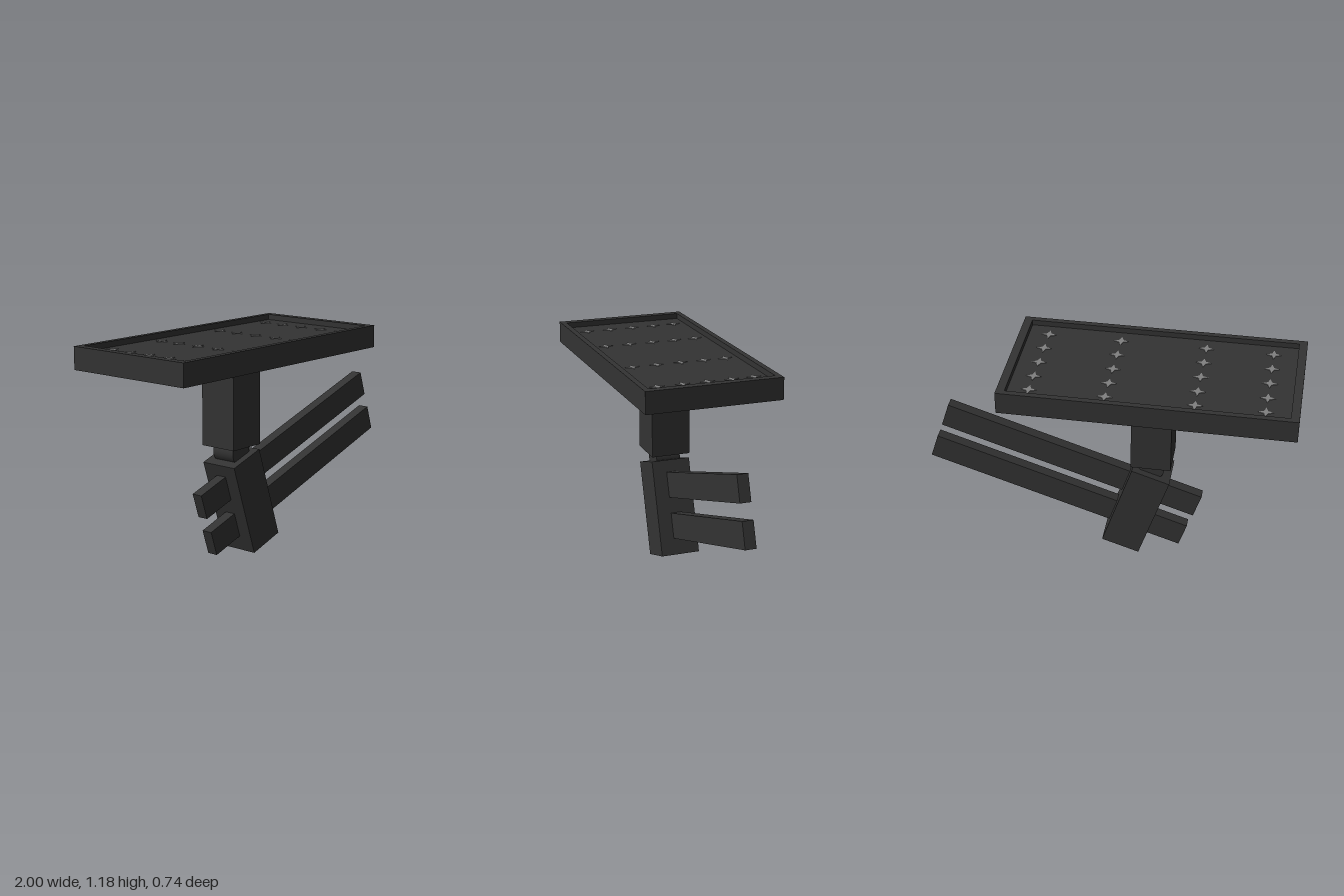
import * as THREE from 'three';

export function createModel() {
  const model = new THREE.Group();
  const charcoal = new THREE.MeshStandardMaterial({ color: 0x333333 });
  charcoal.name = 'charcoal';
  const grey = new THREE.MeshStandardMaterial({ color: 0x808080 });
  grey.name = 'lampGrey';

  const add = (parent, name, geometry, material, x, y, z) => {
    const mesh = new THREE.Mesh(geometry, material);
    mesh.name = name;
    mesh.position.set(x, y, z);
    parent.add(mesh);
    return mesh;
  };
  const box = (parent, name, w, h, d, x, y, z) =>
    add(parent, name, new THREE.BoxGeometry(w, h, d), charcoal, x, y, z);

  // Shallow tray: floor slab and a raised rim
  const head = new THREE.Group();
  head.name = 'lampHead';
  head.position.x = -0.237;
  model.add(head);
  const rect = (Type, w, d) => new Type([
    new THREE.Vector2(-w / 2, -d / 2), new THREE.Vector2(w / 2, -d / 2),
    new THREE.Vector2(w / 2, d / 2), new THREE.Vector2(-w / 2, d / 2)]);
  const rim = rect(THREE.Shape, 1.526, 0.742);
  rim.holes.push(rect(THREE.Path, 1.438, 0.68));
  const rimGeometry = new THREE.ExtrudeGeometry(rim, { depth: 0.12, bevelEnabled: false });
  rimGeometry.rotateX(-Math.PI / 2);
  add(head, 'trayRim', rimGeometry, charcoal, 0, 1.06, 0);
  box(head, 'trayFloor', 1.438, 0.09, 0.68, 0, 1.105, 0);

  // Rows of small four-pointed lamps on the floor
  const star = new THREE.Shape();
  for (let i = 0; i < 8; i++) {
    const r = i % 2 ? 0.015 : 0.04, a = i * Math.PI / 4;
    star[i ? 'lineTo' : 'moveTo'](r * Math.cos(a), r * Math.sin(a));
  }
  const starGeometry = new THREE.ExtrudeGeometry(star, { depth: 0.003, bevelEnabled: false });
  starGeometry.rotateX(-Math.PI / 2);
  for (const x of [-0.83, -0.475, -0.018, 0.373])
    for (const z of [-0.27, -0.147, -0.015, 0.12, 0.255])
      add(head, 'lamp', starGeometry, grey, x + 0.237, 1.15, z);

  // Post and hinge
  box(model, 'post', 0.215, 0.465, 0.216, -0.237, 0.8275, 0);
  const hinge = new THREE.CylinderGeometry(0.067, 0.067, 0.136, 24);
  hinge.rotateX(Math.PI / 2);
  add(model, 'hinge', hinge, charcoal, -0.238, 0.562, 0);

  // Tilted clamp block with two parallel arms through it
  const tilt = THREE.MathUtils.degToRad(18);
  box(model, 'clampBlock', 0.215, 0.525, 0.216, -0.157, 0.285, 0).rotation.z = tilt;
  box(model, 'upperArm', 1.463, 0.141, 0.06, 0.206, 0.535, 0).rotation.z = tilt;
  box(model, 'lowerArm', 1.463, 0.141, 0.06, 0.28, 0.32, 0).rotation.z = tilt;

  return model;
}
